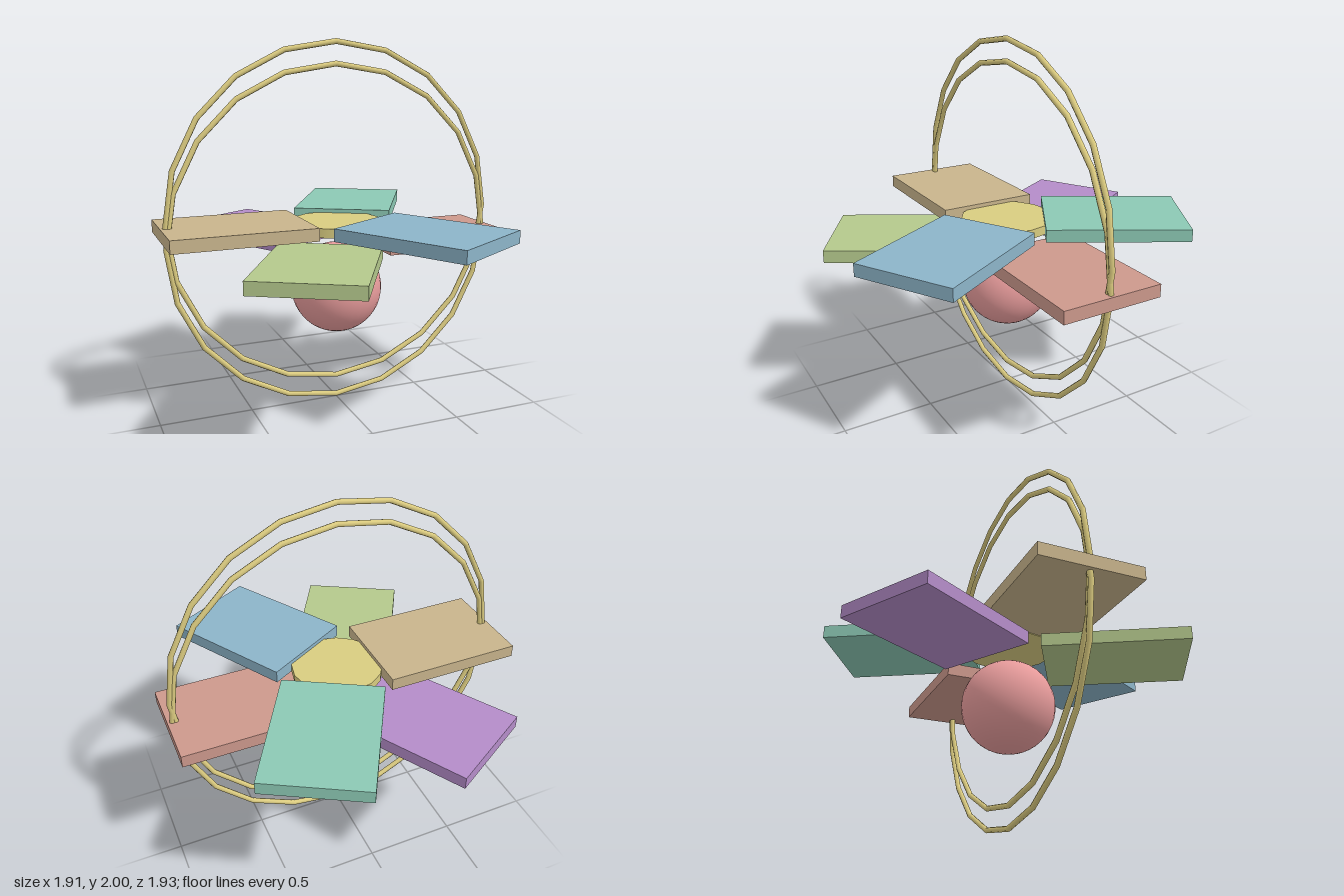
import * as THREE from 'three';

const material = (color) => new THREE.MeshStandardMaterial({ color });

export function createModel() {
  const model = new THREE.Group();
  const add = (name, geometry, color, x, y, z) => {
    const mesh = new THREE.Mesh(geometry, material(color));
    mesh.name = name;
    mesh.position.set(x, y, z);
    model.add(mesh);
    return mesh;
  };

  // Six slabs around the centre, alternating between two levels
  const slab = new THREE.BoxGeometry(0.755, 0.068, 0.55);
  const colors = [0xcc988c, 0x8cc8b4, 0xb48cc8, 0xc8b48c, 0xb4c88c, 0x8cb4c8];
  colors.forEach((color, i) => {
    const angle = (i * Math.PI) / 3;
    const upper = i % 2 === 1;
    const petal = add(upper ? 'upperPetal' : 'lowerPetal', slab, color,
      0.577 * Math.cos(angle), upper ? 1.02 : 0.909, -0.577 * Math.sin(angle));
    petal.rotation.y = angle;
  });

  // Thin disc in the middle
  add('centreDisc', new THREE.CylinderGeometry(0.25, 0.25, 0.05, 16), 0xd8cc80, 0, 1.007, 0);

  // Ball hanging below
  add('ball', new THREE.SphereGeometry(0.25, 32, 24), 0xe89c9c, 0, 0.655, 0);

  // Two equal upright hoops, offset vertically so they cross at the sides
  const hoop = new THREE.TorusGeometry(0.9275, 0.015, 8, 20);
  add('upperHoop', hoop, 0xdccc80, 0, 1.0575, 0);
  add('lowerHoop', hoop, 0xdccc80, 0, 0.9425, 0);

  return model;
}
